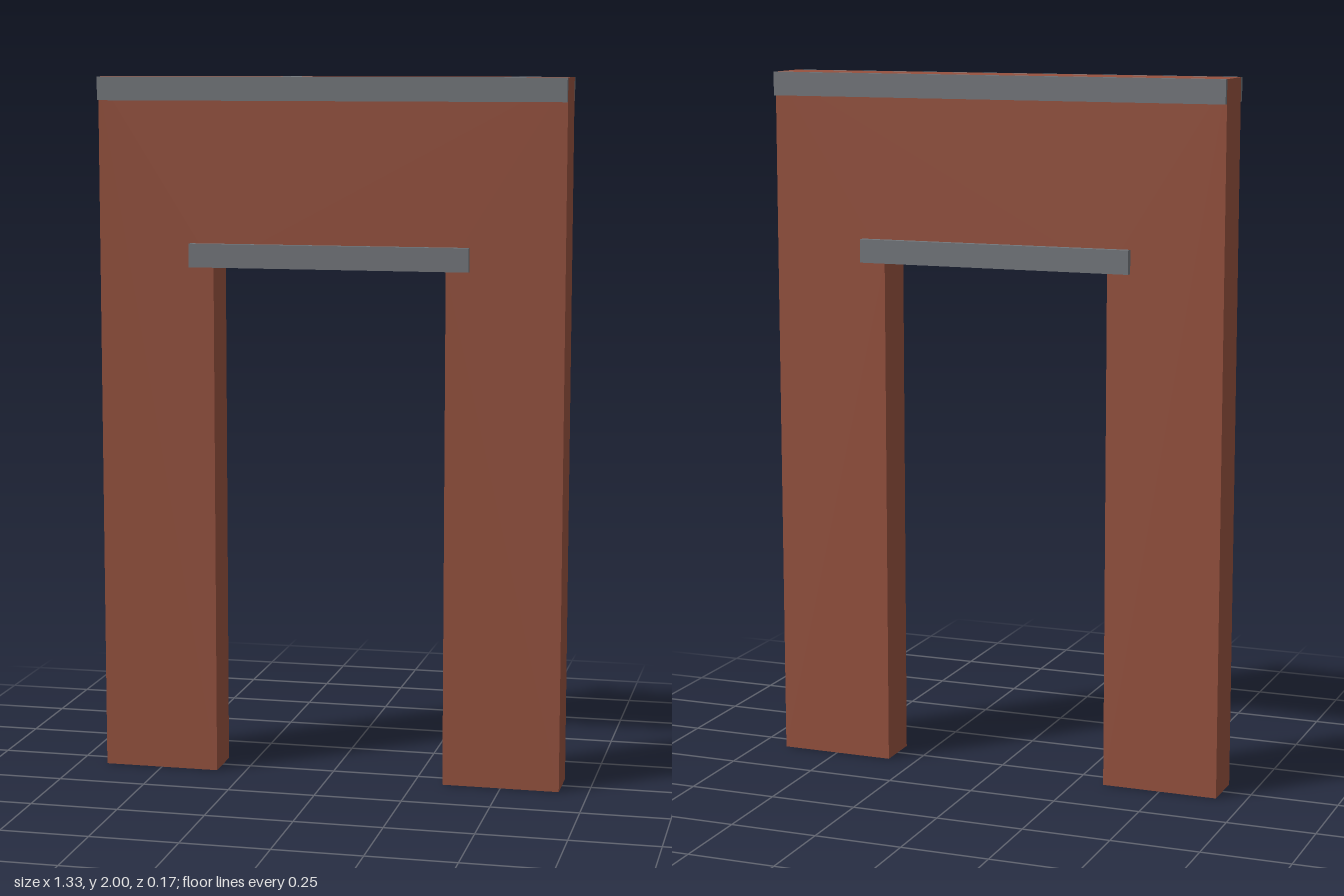
import * as THREE from 'three';

const WALL_DEPTH = 0.1334;

export function createModel() {
  const model = new THREE.Group();
  model.name = 'doorwayWall';
  const brick = new THREE.MeshStandardMaterial({ color: 0x96523f });
  brick.name = 'brick red';
  const stone = new THREE.MeshStandardMaterial({ color: 0x74777c });
  stone.name = 'stone grey';

  // Wall: one outline running around the door opening
  const outline = new THREE.Shape([
    [-0.667, 0], [-0.333, 0], [-0.333, 1.467], [0.333, 1.467],
    [0.333, 0], [0.667, 0], [0.667, 2], [-0.667, 2],
  ].map(([x, y]) => new THREE.Vector2(x, y)));
  const wallGeometry = new THREE.ExtrudeGeometry(outline, { depth: WALL_DEPTH, bevelEnabled: false });
  wallGeometry.translate(0, 0, -WALL_DEPTH / 2);
  const wall = new THREE.Mesh(wallGeometry, brick);
  wall.name = 'wall';
  model.add(wall);

  // Stone band standing proud of one wall face
  function addBand(name, width, y, projection, side) {
    const band = new THREE.Mesh(new THREE.BoxGeometry(width, 0.0667, projection), stone);
    band.name = name;
    band.position.set(0, y, side * (WALL_DEPTH + projection) / 2);
    model.add(band);
  }

  // Coping and lintel on both faces
  for (const [label, side] of [['front', 1], ['back', -1]]) {
    addBand(label + 'Coping', 1.334, 1.9667, 0.0133, side);
    addBand(label + 'Lintel', 0.8, 1.5, 0.02, side);
  }
  return model;
}
